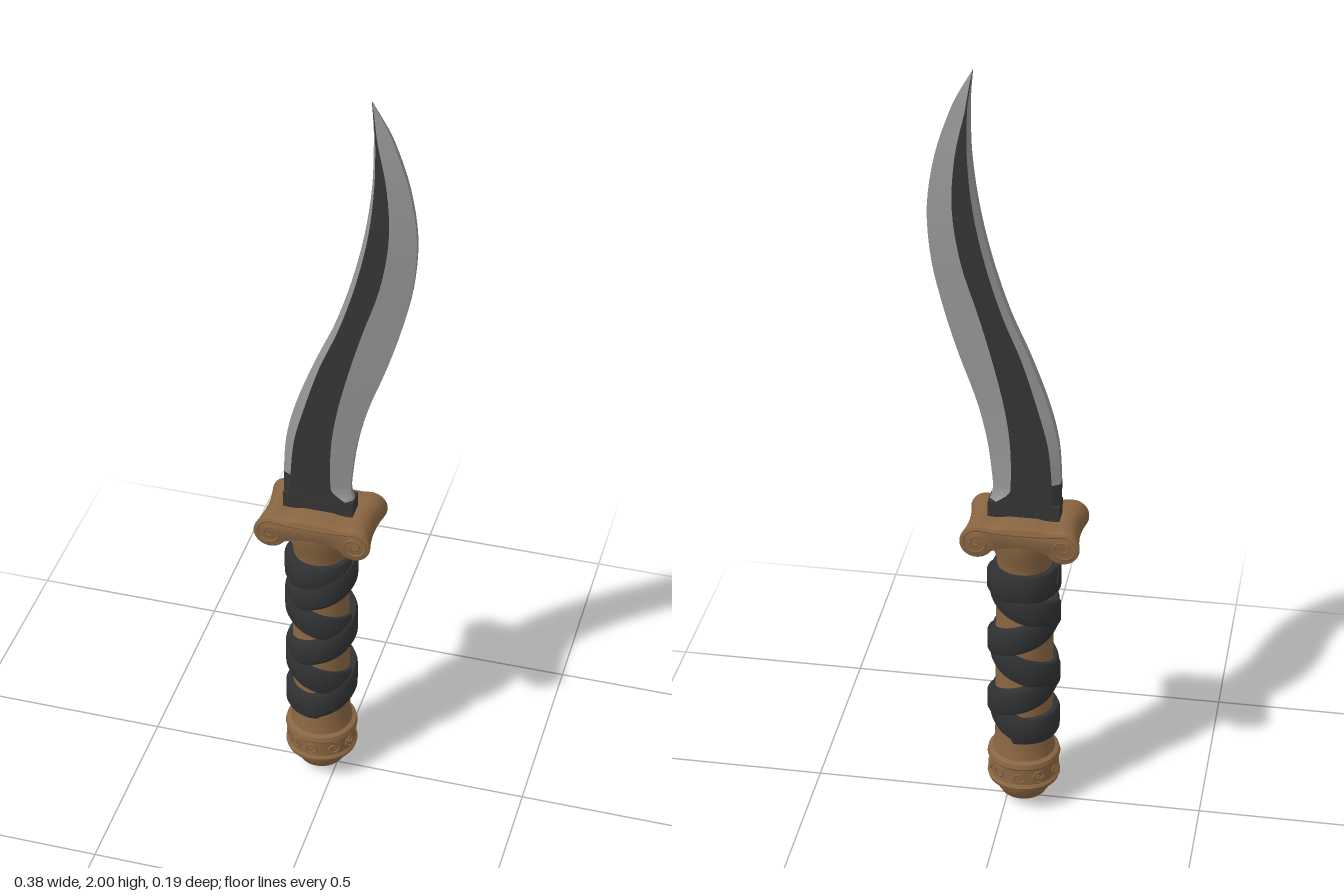
import * as THREE from 'three';
import { toCreasedNormals } from 'three/addons/utils/BufferGeometryUtils.js';

const CX = -0.042; // handle axis
const mat = (name, color) => Object.assign(new THREE.MeshStandardMaterial({ color }), { name });

// Skin closed rings of points, keeping only the quads that pass the test
function loft(rings, keep = () => true, crease = 0.5) {
  const pos = [];
  for (let i = 0; i < rings.length - 1; i++) {
    const a = rings[i], b = rings[i + 1], n = a.length;
    for (let j = 0; j < n; j++) {
      if (!keep(j, a[0].y)) continue;
      const k = (j + 1) % n;
      for (const p of [a[j], a[k], b[k], a[j], b[k], b[j]]) pos.push(p.x, p.y, p.z);
    }
  }
  const g = new THREE.BufferGeometry();
  g.setAttribute('position', new THREE.Float32BufferAttribute(pos, 3));
  return toCreasedNormals(g, crease);
}

// Inward-winding curl, placed by a mapping from flat (u, v) to space
function curl(size, turns, flip, place, thick) {
  const pts = [];
  for (let i = 0; i <= 24; i++) {
    const t = i / 24, a = Math.PI / 2 - t * turns * Math.PI * 2, r = size * (1 - 0.8 * t);
    pts.push(place(flip * r * Math.cos(a), r * Math.sin(a)));
  }
  return new THREE.TubeGeometry(new THREE.CatmullRomCurve3(pts), 40, thick, 5);
}

export function createModel() {
  const root = new THREE.Group();
  root.name = 'curvedDagger';
  const wood = mat('brown', 0x8a6642);
  const leather = mat('charcoalLeather', 0x303234);
  const steel = mat('steel', 0x969696);
  const dark = mat('darkSteel', 0x353535);
  steel.side = dark.side = THREE.DoubleSide;
  const add = (name, geo, m, parent = root) => {
    const mesh = new THREE.Mesh(geo, m);
    mesh.name = name;
    parent.add(mesh);
    return mesh;
  };

  // Blade rows: y, spine x, dark left x, dark right x, cutting edge x, half thickness
  const rows = [
    [0.885, -0.132, -0.115, 0.030, 0.045, 0.025],
    [0.912, -0.132, -0.114, -0.005, 0.037, 0.025],
    [0.945, -0.132, -0.112, -0.011, 0.037, 0.025],
    [1.05, -0.125, -0.102, -0.009, 0.050, 0.025],
    [1.155, -0.100, -0.075, 0.006, 0.075, 0.025],
    [1.278, -0.055, -0.037, 0.035, 0.118, 0.025],
    [1.395, -0.005, 0.010, 0.068, 0.153, 0.025],
    [1.525, 0.037, 0.050, 0.108, 0.182, 0.025],
    [1.66, 0.068, 0.079, 0.128, 0.190, 0.024],
    [1.79, 0.085, 0.092, 0.121, 0.170, 0.021],
    [1.9, 0.087, 0.092, 0.098, 0.134, 0.015],
    [1.95, 0.085, 0.087, 0.090, 0.110, 0.010],
    [2.0, 0.080, 0.080, 0.081, 0.081, 0.002],
  ];
  const cols = [1, 2, 3, 4, 5].map(c => new THREE.SplineCurve(rows.map(r => new THREE.Vector2(r[c], r[0]))));
  const rings = [];
  const steps = (rows.length - 1) * 4;
  for (let i = 0; i <= steps; i++) {
    const p = cols.map(c => c.getPoint(i / steps));
    const [xl, dl, dr, xr, t] = p.map(q => q.x);
    const s = Math.min(0.013, t * 0.6), e = Math.min(0.007, t * 0.4);
    rings.push([[xl, s], [dl, t], [dr, t], [xr, e], [xr, -e], [dr, -t], [dl, -t], [xl, -s]]
      .map(([x, z]) => new THREE.Vector3(x, p[0].y, z)));
  }
  const isDark = (j, y) => j === 1 || j === 5 || (y < 0.94 && (j === 0 || j === 6 || j === 7));
  add('bladeBevels', loft(rings, (j, y) => !isDark(j, y), 0.4), steel);
  add('bladeCore', loft(rings, isDark, 0.4), dark);
  const base = add('bladeBase', new THREE.BoxGeometry(0.178, 0.055, 0.052), dark);
  base.position.set(-0.043, 0.86, 0);

  // Grip, flared neck and pommel in one turned profile
  const profile = [[0, 0], [0.03, 0.006], [0.058, 0.026], [0.074, 0.052], [0.079, 0.068], [0.091, 0.072],
    [0.094, 0.082], [0.088, 0.09], [0.088, 0.134], [0.094, 0.141], [0.091, 0.153], [0.08, 0.158],
    [0.075, 0.19], [0.073, 0.25], [0.073, 0.5], [0.067, 0.7], [0.073, 0.74], [0.088, 0.775], [0.088, 0.815]];
  const grip = add('gripAndPommel', toCreasedNormals(
    new THREE.LatheGeometry(profile.map(([x, y]) => new THREE.Vector2(x, y)), 32), 0.6), wood);
  grip.position.x = CX;

  // Carved curls around the pommel band
  const carving = new THREE.Group();
  carving.name = 'pommelCarving';
  for (let i = 0; i < 10; i++) {
    const th = i / 10 * Math.PI * 2, flip = i % 2 ? 1 : -1;
    add('pommelCurl', curl(0.02, 1.4, flip, (u, v) => {
      const a = th + u / 0.088;
      return new THREE.Vector3(CX + 0.088 * Math.sin(a), 0.112 + flip * v, 0.088 * Math.cos(a));
    }, 0.0035), wood, carving);
  }
  root.add(carving);

  // Guard with rolled ends, pinched at mid depth
  const s = new THREE.Shape();
  s.moveTo(-0.107, 0.848);
  s.quadraticCurveTo(-0.07, 0.842, -0.04, 0.85);
  s.lineTo(0.04, 0.85);
  s.quadraticCurveTo(0.07, 0.842, 0.107, 0.848);
  s.absarc(0.107, 0.805, 0.043, Math.PI / 2, -Math.PI * 0.8, true);
  s.quadraticCurveTo(0.05, 0.795, 0, 0.795);
  s.quadraticCurveTo(-0.05, 0.795, -0.072, 0.78);
  s.absarc(-0.107, 0.805, 0.043, -Math.PI * 0.2, -Math.PI * 1.5, true);
  const guard = new THREE.ExtrudeGeometry(s, { depth: 0.164, steps: 6, curveSegments: 14,
    bevelThickness: 0.006, bevelSize: 0.005, bevelOffset: -0.005, bevelSegments: 2 });
  guard.translate(0, 0, -0.082);
  const gp = guard.attributes.position;
  for (let i = 0; i < gp.count; i++) {
    const q = 1 - (gp.getZ(i) / 0.088) ** 2;
    gp.setX(i, gp.getX(i) * (1 - 0.075 * q) + CX);
  }
  add('guard', toCreasedNormals(guard, 0.5), wood);

  // Raised scrolls and lower rib on the guard faces
  const scrolls = new THREE.Group();
  scrolls.name = 'guardScrolls';
  for (const z of [-0.087, 0.087]) {
    for (const side of [-1, 1]) add('guardScroll', curl(0.036, 1.6, side,
      (u, v) => new THREE.Vector3(CX + side * 0.107 + u, 0.805 + v, z), 0.004), wood, scrolls);
    const rib = new THREE.CatmullRomCurve3([[-0.107, 0.841], [-0.05, 0.836], [0.05, 0.836], [0.107, 0.841]]
      .map(([x, y]) => new THREE.Vector3(CX + x, y, z)));
    add('guardRib', new THREE.TubeGeometry(rib, 16, 0.004, 5), wood, scrolls);
  }
  root.add(scrolls);

  // Two leather straps winding in opposite directions, weaving over each other
  for (const dir of [1, -1]) {
    const strap = [], n = 150;
    for (let i = 0; i <= n; i++) {
      const turn = -0.55 + 3.35 * i / n, phi = turn * Math.PI * 2;
      const y = THREE.MathUtils.clamp(0.66 - turn * 0.18, 0.252, 0.672);
      const out = 0.0895 + dir * (0.001 + 0.003 * Math.cos(phi));
      const w = i === 0 || i === n ? 0 : 0.037;
      const ring = [[0.068, -1], [out - 0.005, -1], [out, -0.7], [out, 0.7], [out - 0.005, 1], [0.068, 1]]
        .map(([r, v]) => new THREE.Vector3(CX + r * Math.cos(phi), y + v * w, dir * r * Math.sin(phi)));
      strap.push(dir > 0 ? ring : ring.reverse());
    }
    add(dir > 0 ? 'gripStrapA' : 'gripStrapB', loft(strap), leather);
  }
  return root;
}
